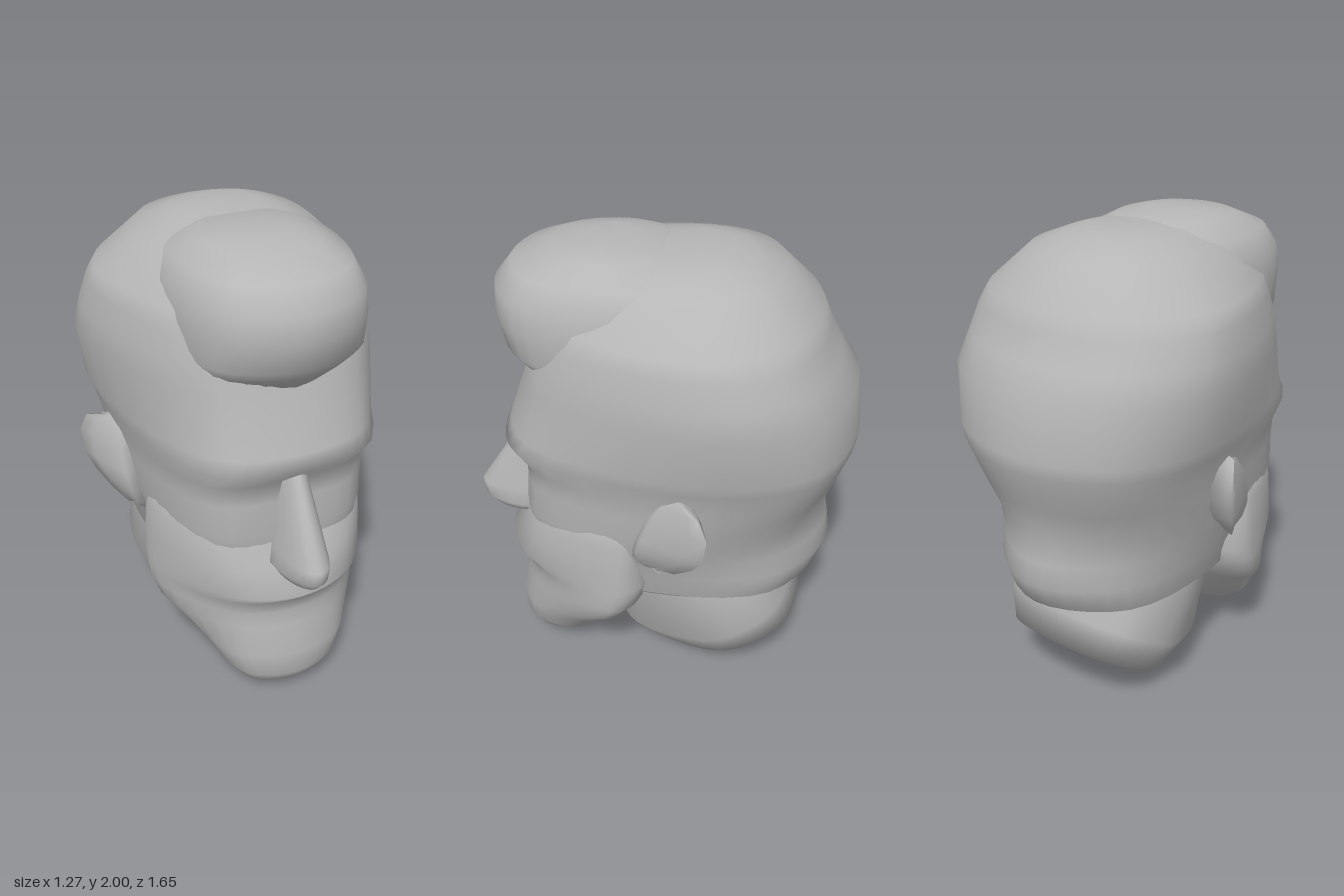
import * as THREE from 'three';

const clay = new THREE.MeshStandardMaterial({ color: 0xb6b6b6 });
clay.name = 'plain grey';

// One symmetric horizontal section through front, corner, side, back corner and back.
// Row: [y, frontZ, cornerX, cornerZ, sideX, sideZ, backCornerX, backZ]
function section([y, zF, cx, cz, w, zw, bx, zB], steps) {
  const bz = zw + (zB - zw) * 0.72;
  const half = [[cx, cz], [w, zw], [bx, bz]];
  const outline = [[0, zF], ...half, [0, zB], ...half.map(([x, z]) => [-x, z]).reverse()];
  const curve = new THREE.CatmullRomCurve3(outline.map(([x, z]) => new THREE.Vector3(x, y, z)), true);
  return Array.from({ length: steps }, (_, j) => curve.getPoint(j / steps));
}

// Skin rings of points from top to bottom and close both ends.
function skin(rings) {
  const steps = rings[0].length;
  const last = rings.length - 1;
  const centre = (ring) => ring.reduce((s, p) => s.add(p), new THREE.Vector3()).divideScalar(steps);
  const points = [...rings.flat(), centre(rings[0]), centre(rings[last])];
  const top = rings.length * steps;
  const index = [];
  for (let j = 0; j < steps; j++) {
    const k = (j + 1) % steps;
    for (let i = 0; i < last; i++) {
      const a = i * steps + j, b = i * steps + k;
      index.push(a, a + steps, b, b, a + steps, b + steps);
    }
    index.push(top, j, k, top + 1, last * steps + k, last * steps + j);
  }
  const g = new THREE.BufferGeometry().setFromPoints(points);
  g.setIndex(index);
  g.computeVertexNormals();
  return g;
}

const loft = (rows, steps = 40) => skin(rows.map((r) => section(r, steps)));

// Ear: wedge sections that flare outward toward a thin rear rim
function earGeometry(side) {
  // [y, rimX, rimZ, frontZ]
  const rows = [
    [1.14, 0.575, -0.14, -0.08],
    [1.11, 0.615, -0.2, -0.05],
    [1.03, 0.637, -0.235, 0.0],
    [0.92, 0.63, -0.22, 0.04],
    [0.85, 0.6, -0.175, 0.06],
    [0.78, 0.55, -0.1, 0.06],
    [0.735, 0.5, -0.03, 0.02],
  ];
  return skin(rows.map(([y, x, z, f]) => {
    const inner = 0.44;
    const ring = [
      [inner, f + 0.03], [inner + (x - inner) * 0.45, f],
      [x - 0.03, z + (f - z) * 0.3], [x, z],
      [x - 0.03, z + 0.005], [inner, z + 0.05],
    ].map(([px, pz]) => new THREE.Vector3(side * px, y, pz));
    return side > 0 ? ring : ring.reverse();
  }));
}

export function createModel() {
  const model = new THREE.Group();
  model.name = 'head bust';
  const add = (name, geometry) => {
    const mesh = new THREE.Mesh(geometry, clay);
    mesh.name = name;
    model.add(mesh);
  };

  // Skull with forehead, brow, eye hollows, cheeks and the hair at the back
  add('skull', loft([
    [1.985, 0.0, 0.1, -0.05, 0.15, -0.16, 0.1, -0.27],
    [1.965, 0.2, 0.16, 0.12, 0.23, -0.14, 0.17, -0.36],
    [1.92, 0.34, 0.25, 0.26, 0.345, -0.16, 0.25, -0.49],
    [1.76, 0.48, 0.32, 0.38, 0.53, -0.2, 0.37, -0.64],
    [1.69, 0.5, 0.33, 0.41, 0.56, -0.22, 0.4, -0.67],
    [1.58, 0.53, 0.34, 0.45, 0.585, -0.25, 0.42, -0.72],
    [1.47, 0.56, 0.35, 0.46, 0.605, -0.27, 0.43, -0.8],
    [1.24, 0.64, 0.34, 0.53, 0.572, -0.26, 0.42, -0.825],
    [1.18, 0.665, 0.34, 0.565, 0.55, -0.24, 0.41, -0.82],
    [1.09, 0.57, 0.33, 0.5, 0.525, -0.2, 0.4, -0.79],
    [1.0, 0.57, 0.32, 0.505, 0.51, -0.15, 0.38, -0.76],
    [0.86, 0.58, 0.31, 0.52, 0.485, -0.02, 0.365, -0.71],
    [0.74, 0.57, 0.3, 0.5, 0.45, 0.06, 0.35, -0.73],
    [0.64, 0.56, 0.28, 0.47, 0.415, 0.04, 0.345, -0.745],
    [0.53, 0.52, 0.26, 0.43, 0.395, 0.02, 0.34, -0.7],
    [0.505, 0.5, 0.25, 0.4, 0.375, 0.02, 0.32, -0.64],
    [0.495, 0.45, 0.2, 0.35, 0.32, 0.02, 0.28, -0.52],
  ]));

  // Moustache, jaw and square beard, running up flush into the cheeks
  add('beardAndMoustache', loft([
    [0.95, 0.5, 0.28, 0.44, 0.44, 0.16, 0.36, 0.06],
    [0.83, 0.57, 0.305, 0.51, 0.474, 0.14, 0.41, 0.03],
    [0.7, 0.61, 0.3, 0.535, 0.484, 0.14, 0.41, 0.02],
    [0.59, 0.69, 0.28, 0.58, 0.487, 0.15, 0.42, 0.0],
    [0.53, 0.63, 0.27, 0.54, 0.487, 0.17, 0.42, 0.02],
    [0.47, 0.62, 0.26, 0.54, 0.48, 0.18, 0.41, 0.04],
    [0.4, 0.63, 0.25, 0.55, 0.455, 0.22, 0.37, 0.09],
    [0.26, 0.66, 0.24, 0.58, 0.33, 0.33, 0.26, 0.17],
    [0.15, 0.66, 0.2, 0.59, 0.265, 0.4, 0.2, 0.25],
    [0.085, 0.62, 0.16, 0.57, 0.2, 0.48, 0.15, 0.38],
    [0.055, 0.57, 0.1, 0.55, 0.14, 0.51, 0.1, 0.46],
  ]));

  // Swept-up front hair, running back into the crown
  add('quiff', loft([
    [2.0, 0.3, 0.1, 0.28, 0.14, 0.22, 0.09, 0.12],
    [1.98, 0.45, 0.17, 0.38, 0.23, 0.16, 0.16, -0.05],
    [1.92, 0.6, 0.25, 0.49, 0.335, 0.13, 0.26, -0.2],
    [1.83, 0.67, 0.28, 0.55, 0.385, 0.14, 0.3, -0.25],
    [1.72, 0.68, 0.29, 0.55, 0.395, 0.15, 0.3, -0.25],
    [1.6, 0.65, 0.3, 0.52, 0.39, 0.15, 0.3, -0.2],
    [1.54, 0.59, 0.3, 0.46, 0.36, 0.15, 0.28, -0.15],
    [1.48, 0.55, 0.26, 0.4, 0.33, 0.15, 0.26, -0.12],
  ]));

  add('nose', loft([
    [1.16, 0.6, 0.02, 0.58, 0.04, 0.55, 0.04, 0.5],
    [1.1, 0.63, 0.03, 0.61, 0.06, 0.55, 0.06, 0.5],
    [0.8, 0.825, 0.055, 0.79, 0.095, 0.62, 0.09, 0.5],
    [0.73, 0.815, 0.055, 0.78, 0.11, 0.63, 0.1, 0.5],
    [0.69, 0.78, 0.045, 0.75, 0.085, 0.64, 0.07, 0.52],
    [0.675, 0.74, 0.02, 0.73, 0.04, 0.66, 0.04, 0.55],
  ], 24));

  // Neck: tapers in to a cut below that rises toward the nape
  const cutHeight = (z) => (z > -0.27 ? (0.13 - z) * 0.25 : 0.1 + (-0.27 - z) * 0.58);
  const cutRing = (row, lift) => section(row, 40).map((p) => p.setY(cutHeight(p.z) + lift));
  add('neck', skin([
    section([0.75, 0.1, 0.28, 0.05, 0.38, -0.1, 0.31, -0.54], 40),
    section([0.52, 0.2, 0.28, 0.1, 0.395, -0.16, 0.33, -0.58], 40),
    cutRing([0, 0.2, 0.22, 0.1, 0.4, -0.3, 0.33, -0.6], 0.16),
    cutRing([0, 0.13, 0.14, 0.02, 0.33, -0.38, 0.27, -0.635], 0),
  ]));

  add('leftEar', earGeometry(1));
  add('rightEar', earGeometry(-1));
  return model;
}
